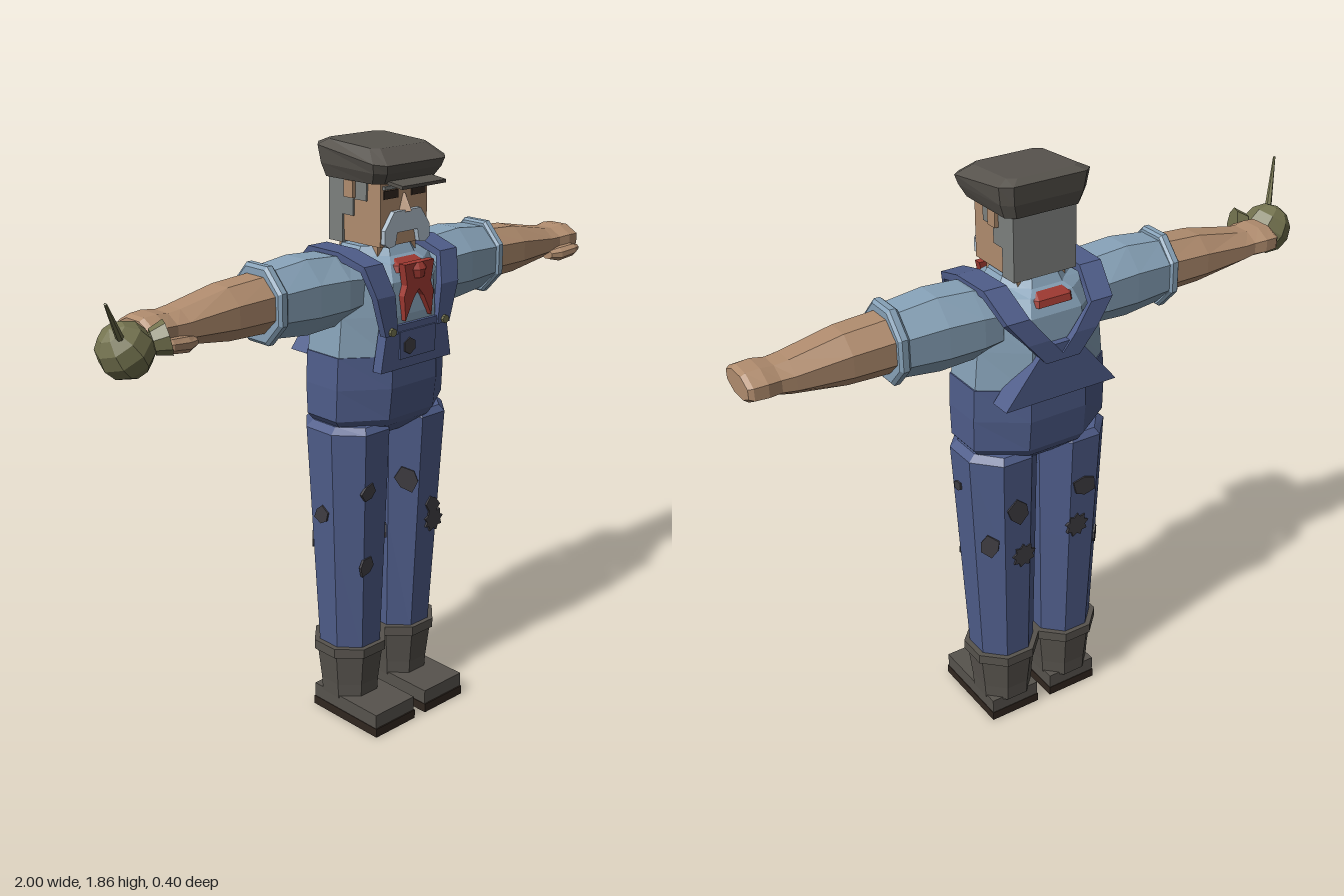
import * as THREE from 'three';

const mat = (name, color) => Object.assign(new THREE.MeshStandardMaterial({ color }), { name });
const OCT = 0.586; // corner cut giving a regular octagon

export function createModel() {
  const M = {
    skin: mat('skin', 0xb08c6e), shirt: mat('shirtBlue', 0x87a2b8), denim: mat('denim', 0x4f5d8a),
    leather: mat('darkLeather', 0x57534d), sole: mat('soleDark', 0x30261f), scarf: mat('scarfRed', 0xa03a32),
    hair: mat('hairGrey', 0x7d807e), whisker: mat('whiskerGrey', 0xb0bfcc), olive: mat('olive', 0x74734f),
    patch: mat('patchDark', 0x3f3d42),
  };
  const root = new THREE.Group();
  root.name = 'workman';
  root.position.x = 0.107;

  const add = (name, geo, material, x = 0, y = 0, z = 0, parent = root) => {
    const g = geo.index ? geo.toNonIndexed() : geo;
    g.computeVertexNormals();
    const m = new THREE.Mesh(g, material);
    m.name = name;
    m.position.set(x, y, z);
    parent.add(m);
    return m;
  };
  const box = (name, m, x0, x1, y0, y1, z0, z1, parent) =>
    add(name, new THREE.BoxGeometry(x1 - x0, y1 - y0, z1 - z0), m, (x0 + x1) / 2, (y0 + y1) / 2, (z0 + z1) / 2, parent);

  // Closed skin over rings of points, wound outward by signed volume
  const loft = (rings) => {
    const tris = [], n = rings[0].length, last = rings.length - 1;
    for (let i = 0; i < last; i++) for (let j = 0; j < n; j++) {
      const a = rings[i][j], b = rings[i][(j + 1) % n], c = rings[i + 1][(j + 1) % n], d = rings[i + 1][j];
      tris.push([a, b, c], [a, c, d]);
    }
    for (let j = 1; j < n - 1; j++) {
      tris.push([rings[0][0], rings[0][j + 1], rings[0][j]]);
      tris.push([rings[last][0], rings[last][j], rings[last][j + 1]]);
    }
    const o = rings[0][0], t = new THREE.Vector3();
    let vol = 0;
    for (const [a, b, c] of tris) vol += t.crossVectors(b.clone().sub(o), c.clone().sub(o)).dot(a.clone().sub(o));
    const pts = tris.flatMap(([a, b, c]) => (vol < 0 ? [a, c, b] : [a, b, c]));
    return new THREE.BufferGeometry().setFromPoints(pts);
  };
  // Chamfered rectangle outline, half sizes w and d
  const outline = (w, d, c) => [[1, 1 - c], [1 - c, 1], [c - 1, 1], [-1, 1 - c], [-1, c - 1], [c - 1, -1], [1 - c, -1], [1, c - 1]]
    .map(([u, v]) => [u * w, v * d]);
  // Vertical sections: [y, halfX, halfZ, centreX, centreZ, slope]
  const column = (secs, c = OCT) => loft(secs.map(([y, w, d, cx = 0, cz = -0.015, s = 0]) =>
    outline(w, d, c).map(([u, v]) => new THREE.Vector3(cx + u, y - s * v, cz + v))));
  // Sideways sections: [x, halfY, halfZ, centreY, centreZ], mirrored by side
  const limb = (secs, side) => loft(secs.map(([x, h, d, cy = 1.437, cz = -0.02]) =>
    outline(h, d, OCT).map(([u, v]) => new THREE.Vector3(side * x, cy + u, cz + v))));
  // Flat plate with its outline in x and y
  const plate = (pts, depth) => new THREE.ExtrudeGeometry(
    new THREE.Shape(pts.map((p) => new THREE.Vector2(...p))), { depth, bevelEnabled: false });
  const mirrored = (half) => [...half, ...half.map(([x, y]) => [-x, y]).reverse()];

  // Torso
  add('trouserWaist', column([[0.965, 0.07, 0.08], [1.015, 0.21, 0.14], [1.04, 0.23, 0.155], [1.14, 0.23, 0.166], [1.24, 0.225, 0.165]]), M.denim);
  add('shirtBody', column([[1.23, 0.222, 0.162], [1.36, 0.21, 0.163], [1.46, 0.205, 0.155], [1.51, 0.17, 0.13], [1.535, 0.11, 0.1]]), M.shirt);
  add('frontBib', plate(mirrored([[0.15, 1.2], [0.125, 1.335]]), 0.035), M.denim, 0, 0, 0.124);
  add('backBib', plate(mirrored([[0.19, 1.21], [0.05, 1.38]]), 0.07), M.denim, 0, 0, -0.198);
  box('bibPocket', M.denim, -0.075, 0.075, 1.23, 1.315, 0.155, 0.164);
  add('pocketPatch', new THREE.CylinderGeometry(0.026, 0.026, 0.008, 6).rotateX(Math.PI / 2), M.patch, -0.038, 1.267, 0.164);

  // Straps run over the shoulders and meet on the back
  const strapPath = [[0.11, 1.31, 0.152], [0.135, 1.43, 0.152], [0.158, 1.515, 0.125], [0.165, 1.54, 0.03], [0.16, 1.54, -0.1],
    [0.14, 1.47, -0.182], [0.08, 1.4, -0.192], [0.02, 1.33, -0.192]];
  for (const s of [-1, 1]) {
    add('strap', loft(strapPath.map(([x, y, z], i) => {
      const a = strapPath[Math.max(i - 1, 0)], b = strapPath[Math.min(i + 1, strapPath.length - 1)];
      const l = Math.hypot(b[1] - a[1], b[2] - a[2]);
      const ny = -(b[2] - a[2]) / l * 0.012, nz = (b[1] - a[1]) / l * 0.012, w = i ? 0.037 : 0.026;
      return [[-w, 1], [w, 1], [w, -1], [-w, -1]].map(([u, k]) => new THREE.Vector3(s * (x + u), y + k * ny, z + k * nz));
    })), M.denim);
    add('strapButton', new THREE.CylinderGeometry(0.013, 0.013, 0.01, 8).rotateX(Math.PI / 2), M.olive, s * 0.112, 1.322, 0.168);
  }

  // Collar and neckerchief
  add('collar', column([[1.5, 0.13, 0.115], [1.525, 0.125, 0.11], [1.555, 0.105, 0.095]]), M.shirt);
  add('neckerchief', column([[1.485, 0.13, 0.15], [1.505, 0.125, 0.145], [1.525, 0.1, 0.11]]), M.scarf);
  add('neckerchiefTails', plate(mirrored([[0, 1.435], [0.022, 1.41], [0.055, 1.345], [0.062, 1.42], [0.05, 1.45], [0.062, 1.515]]), 0.025), M.scarf, 0, 0, 0.14);
  add('neckerchiefKnot', column([[1.47, 0.02, 0.015, 0, 0.16], [1.495, 0.028, 0.018, 0, 0.16], [1.515, 0.02, 0.012, 0, 0.155]]), M.scarf);

  // Head
  box('neck', M.skin, -0.08, 0.08, 1.5, 1.57, -0.095, 0.07);
  box('face', M.skin, -0.097, 0.097, 1.56, 1.77, -0.1, 0.098);
  box('hairBack', M.hair, -0.104, 0.104, 1.555, 1.765, -0.114, -0.055);
  for (const s of [-1, 1]) {
    const strip = (name, m, x, y0, y1, z0, z1) => box(name, m, s * x - 0.006, s * x + 0.006, y0, y1, z0, z1);
    strip('hairSide', M.hair, 0.098, 1.64, 1.765, -0.06, -0.01);
    strip('sideburn', M.hair, 0.097, 1.69, 1.765, -0.02, 0.045);
    strip('ear', M.skin, 0.11, 1.695, 1.745, -0.038, 0.0);
    box('eye', M.sole, s * 0.057 - 0.029, s * 0.057 + 0.029, 1.7, 1.724, 0.095, 0.102);
    box('brow', M.hair, s * 0.057 - 0.032, s * 0.057 + 0.032, 1.728, 1.738, 0.095, 0.107);
  }
  const V = (x, y, z) => new THREE.Vector3(x, y, z);
  add('nose', loft([[V(-0.028, 1.652, 0.09), V(0.028, 1.652, 0.09), V(0, 1.66, 0.13)],
    [V(-0.01, 1.71, 0.09), V(0.01, 1.71, 0.09), V(0, 1.71, 0.102)]]), M.skin);
  add('moustache', plate(mirrored([[0, 1.61], [0.042, 1.6], [0.05, 1.562], [0.075, 1.558], [0.093, 1.57], [0.093, 1.61], [0.055, 1.662], [0, 1.652]].slice(1, 7)), 0.022), M.whisker, 0, 0, 0.092);

  // Flat cap
  add('cap', column([[1.748, 0.125, 0.122, 0, -0.005], [1.785, 0.14, 0.138, 0, 0.002, 0.03],
    [1.825, 0.148, 0.145, 0, 0.002, 0.14], [1.852, 0.115, 0.105, 0, -0.015, 0.06]], 0.2), M.leather);
  const visor = add('capVisor', new THREE.BoxGeometry(0.18, 0.01, 0.1), M.leather, 0, 1.75, 0.13);
  visor.rotation.x = 0.12;

  // Arms
  for (const s of [-1, 1]) {
    add('sleeve', limb([[0.15, 0.09, 0.11], [0.21, 0.105, 0.112], [0.32, 0.112, 0.108], [0.45, 0.098, 0.1]], s), M.shirt);
    add('sleeveCuff', limb([[0.44, 0.108, 0.1], [0.448, 0.115, 0.107], [0.466, 0.115, 0.107], [0.474, 0.105, 0.098]], s), M.shirt);
    add('forearm', limb([[0.44, 0.083, 0.088, 1.441], [0.6, 0.076, 0.086, 1.438], [0.76, 0.05, 0.076, 1.433], [0.8, 0.043, 0.073, 1.435],
      [0.84, 0.046, 0.082, 1.438], [0.88, 0.043, 0.08, 1.438], [0.893, 0.034, 0.07, 1.438]], s), M.skin);
    add('thumb', limb([[0.745, 0.014, 0.02, 1.4, 0.045], [0.78, 0.022, 0.024, 1.4, 0.058], [0.84, 0.02, 0.02, 1.408, 0.07], [0.865, 0.01, 0.012, 1.412, 0.07]], s), M.skin);
  }

  // Oil can held in the right hand
  const can = new THREE.Group();
  can.name = 'oilCan';
  root.add(can);
  const rod = (name, from, to, r0, r1, n) => {
    const d = to.clone().sub(from), mid = from.clone().addScaledVector(d, 0.5);
    add(name, new THREE.CylinderGeometry(r1, r0, d.length(), n), M.olive, mid.x, mid.y, mid.z, can)
      .quaternion.setFromUnitVectors(V(0, 1, 0), d.normalize());
  };
  const bulb = V(-0.967, 1.418, 0.047), base = V(-0.865, 1.443, 0.095);
  add('canBulb', new THREE.SphereGeometry(0.08, 8, 6), M.olive, ...bulb, can).rotation.z = 0.6;
  rod('canSpout', bulb, V(-1.107, 1.592, 0.182), 0.014, 0.004, 6);
  rod('canNeck', bulb, base, 0.028, 0.028, 8);
  rod('canCap', V(-0.903, 1.434, 0.077), base, 0.036, 0.05, 8);

  // Legs, boots and shoes
  const legAt = (y) => {
    const t = (y - 0.25) / 0.76, k = (a, b) => a + (b - a) * t;
    return { w: k(0.096, 0.12), d: k(0.098, 0.135), cx: k(0.112, 0.123) };
  };
  for (const s of [-1, 1]) {
    const secs = [0.24, 0.65, 1.0].map((y) => { const l = legAt(y); return [y, l.w, l.d, s * l.cx]; });
    add('trouserLeg', column([...secs, [1.02, 0.1, 0.12, s * 0.12]]), M.denim);
    const x = s * 0.112;
    add('bootShaft', column([[0.07, 0.088, 0.09, x], [0.12, 0.091, 0.093, x], [0.225, 0.102, 0.105, x], [0.23, 0.114, 0.114, x], [0.262, 0.114, 0.114, x]]), M.leather);
    box('shoe', M.leather, x - 0.086, x + 0.086, 0.028, 0.078, -0.093, 0.196);
    box('shoeSole', M.sole, x - 0.088, x + 0.088, 0, 0.03, -0.095, 0.2);
  }

  // Trouser patches: [side, facing angle, y, sideways shift, radius, stitched]
  const patches = [[-1, 90, 0.81, 0.035, 0.032], [-1, 90, 0.555, 0.035, 0.034], [-1, 45, 0.64, 0.01, 0.026],
    [1, 135, 0.79, -0.01, 0.045], [1, 90, 0.685, -0.02, 0.034], [1, 90, 0.63, -0.03, 0.042, 1], [1, 0, 0.88, 0.02, 0.022],
    [1, 45, 0.61, -0.02, 0.022], [1, -45, 0.7, 0.0, 0.04], [1, -90, 0.82, 0, 0.045], [1, -90, 0.65, -0.02, 0.042, 1],
    [-1, -90, 0.83, 0, 0.045], [-1, -90, 0.69, 0.02, 0.042, 1], [-1, 180, 0.72, 0, 0.035], [-1, -135, 0.6, 0, 0.03]];
  patches.forEach(([s, deg, y, u, r, stitched], k) => {
    const a = THREE.MathUtils.degToRad(deg), l = legAt(y), n = stitched ? 18 : 6;
    const nrm = V(Math.cos(a) / l.w, 0, Math.sin(a) / l.d).normalize();
    const tan = V(-l.w * Math.sin(a), 0, l.d * Math.cos(a)).normalize();
    const p = V(s * l.cx + l.w * Math.cos(a), y, -0.015 + l.d * Math.sin(a)).addScaledVector(tan, u).addScaledVector(nrm, -0.003);
    const pts = Array.from({ length: n }, (_, i) => {
      const t = i / n * Math.PI * 2 + k, q = r * (stitched ? (i % 2 ? 0.72 : 1) : 0.88 + 0.18 * Math.sin(i * 2.3 + k));
      return [q * Math.cos(t), q * Math.sin(t)];
    });
    const m = add(stitched ? 'stitchedPatch' : 'patch', plate(pts, 0.009), M.patch, p.x, p.y, p.z);
    m.quaternion.setFromUnitVectors(V(0, 0, 1), nrm);
    if (deg === -90) m.rotation.set(0, Math.PI, 0);
  });
  return root;
}
